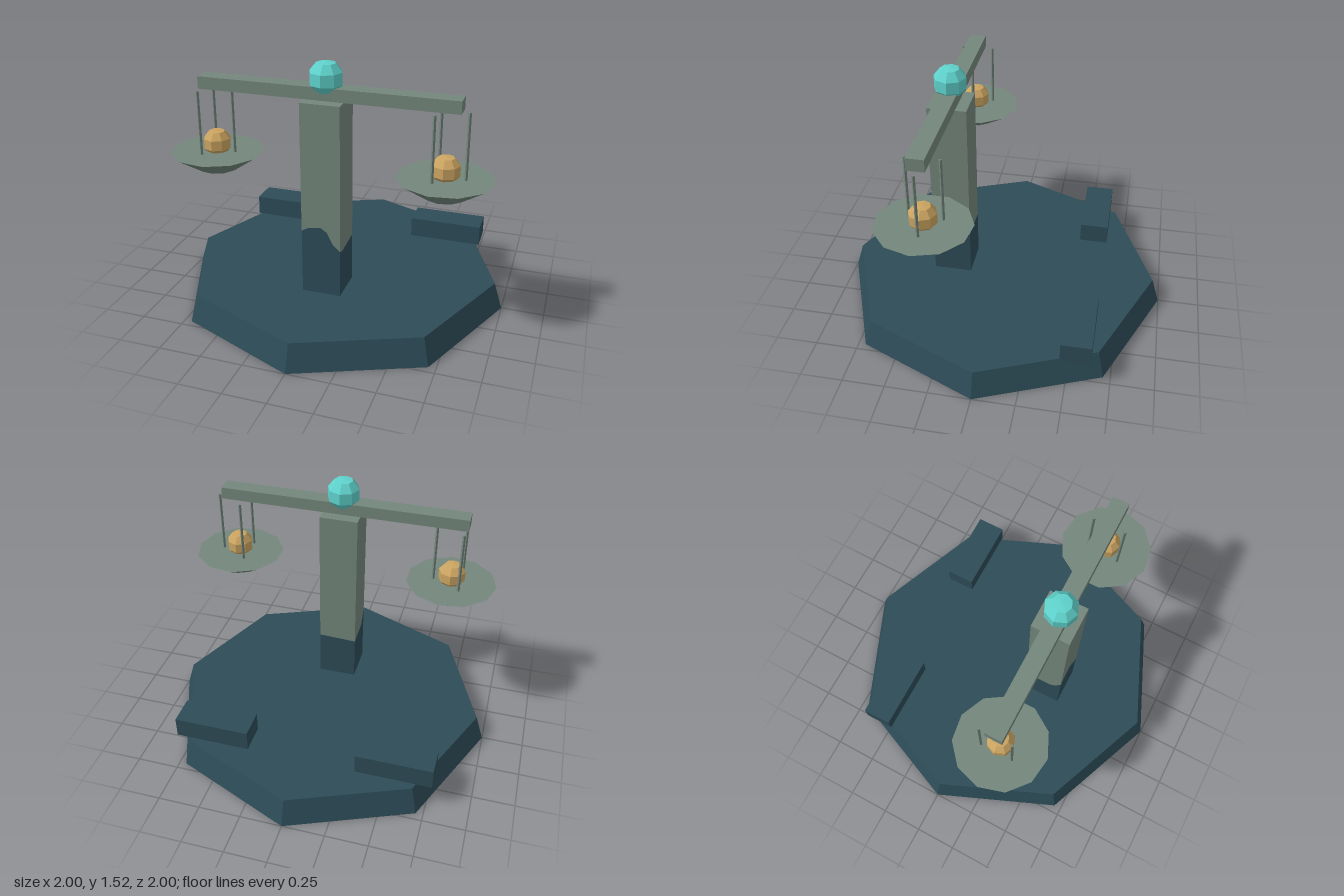
import * as THREE from 'three';

const mat = (name, color) => {
  const m = new THREE.MeshStandardMaterial({ color });
  m.name = name;
  m.flatShading = true;
  return m;
};

export function createModel() {
  const model = new THREE.Group();
  model.name = 'balanceScale';
  const slate = mat('darkSlate', 0x2d4c57);
  const stone = mat('greyGreen', 0x74877c);
  const turquoise = mat('turquoise', 0x5fd2cc);
  const gold = mat('gold', 0xcba461);

  const Z = 0.305; // depth of the column and beam
  const add = (parent, name, geometry, material, x = 0, y = 0, z = 0) => {
    const mesh = new THREE.Mesh(geometry, material);
    mesh.name = name;
    mesh.position.set(x, y, z);
    parent.add(mesh);
    return mesh;
  };

  // faceted ball, eight sided
  const ball = (r) => new THREE.LatheGeometry(
    [[0, -0.95], [0.58, -0.82], [0.98, -0.36], [0.98, 0.36], [0.58, 0.86], [0, 0.93]]
      .map(([x, y]) => new THREE.Vector2(x * r, y * r)), 8);

  // octagonal base
  add(model, 'base', new THREE.CylinderGeometry(0.95, 1, 0.16, 8), slate, 0, 0.08, 0);

  // two blocks at the back of the base
  for (const s of [-1, 1]) {
    add(model, s < 0 ? 'rightBlock' : 'leftBlock',
      new THREE.BoxGeometry(0.452, 0.125, 0.176), slate, s * 0.552, 0.222, -0.548);
  }

  // column: each side is split along an uneven colour line
  const column = new THREE.Group();
  column.name = 'column';
  column.position.z = Z;
  model.add(column);
  const H = 0.115, bottom = 0.15, top = 1.312;
  const colourLines = [
    [[-H, 0.55], [-0.08, 0.57], [0, 0.583], [0.035, 0.56], [0.07, 0.49], [H, 0.45]], // front
    [[-H, 0.45], [-0.08, 0.435], [H, 0.45]], // +x side
    [[-H, 0.45], [H, 0.44]], // back
    [[-H, 0.44], [0.05, 0.45], [0.08, 0.48], [H, 0.55]], // -x side
  ];
  colourLines.forEach((line, i) => {
    for (const [name, edge, material] of [['columnFoot', bottom, slate], ['columnShaft', top, stone]]) {
      const shape = new THREE.Shape(
        [[-H, edge], ...line, [H, edge]].map(([x, y]) => new THREE.Vector2(x, y)));
      const face = new THREE.ShapeGeometry(shape);
      face.translate(0, 0, H).rotateY(i * Math.PI / 2);
      add(column, name, face, material);
    }
  });
  add(column, 'columnTop', new THREE.PlaneGeometry(2 * H, 2 * H).rotateX(-Math.PI / 2), stone, 0, top, 0);

  // beam and finial
  add(model, 'beam', new THREE.BoxGeometry(1.495, 0.072, 0.1), stone, 0, 1.349, Z);
  add(model, 'finial', ball(0.096), turquoise, 0, 1.43, Z);

  // hanging pans, each with three rods and a weight
  for (const s of [-1, 1]) {
    const pan = new THREE.Group();
    pan.name = s < 0 ? 'rightPan' : 'leftPan';
    pan.position.set(s * 0.673, 0, Z);
    model.add(pan);
    const dish = new THREE.CylinderGeometry(0.271, 0.118, 0.104, 11).rotateY(s * Math.PI / 2);
    add(pan, 'dish', dish, stone, 0, 0.883, 0);
    add(pan, 'weight', ball(0.081), gold, 0, 0.983, 0);
    for (let i = 0; i < 3; i++) {
      const a = i * Math.PI * 2 / 3;
      add(pan, 'rod', new THREE.CylinderGeometry(0.009, 0.009, 0.39, 4), stone,
        0.11 * Math.cos(a), 1.117, 0.11 * Math.sin(a));
    }
  }
  return model;
}
